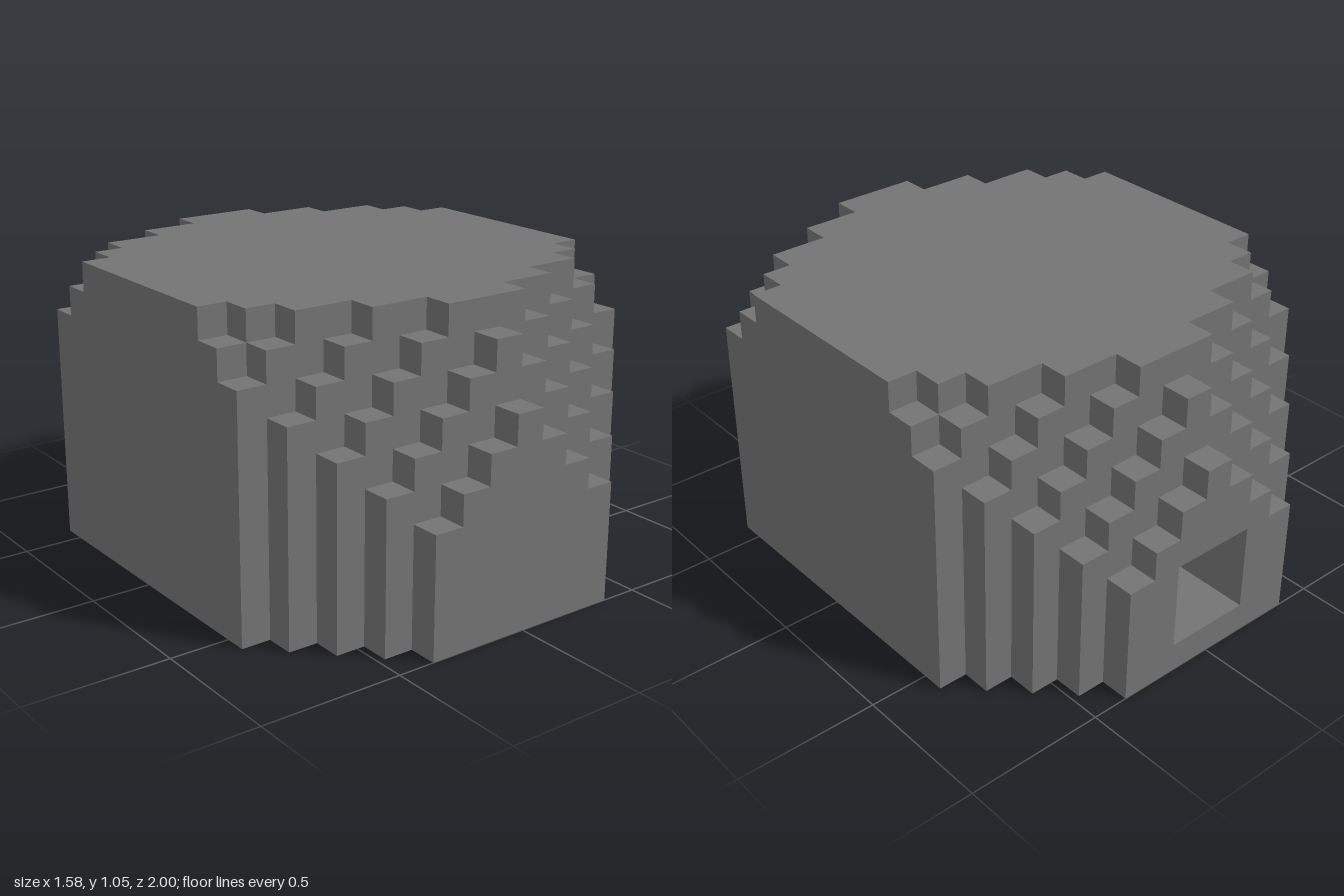
import * as THREE from 'three';

const U = 2 / 19; // one block

// Column heights in blocks, from the centre column outwards, for each slab from the ends inwards
const SLABS = [
  [7, 6, 5, 4],
  [9, 8, 7, 6, 5],
  [10, 10, 9, 8, 7, 6],
  [10, 10, 10, 10, 9, 8, 7],
  [10, 10, 10, 10, 10, 10, 9, 8],
  [10, 10, 10, 10, 10, 10, 10, 9],
];
const TUNNEL_DEPTH = 3;

// Stepped, left-right symmetrical outline
function steppedShape(heights) {
  const side = [];
  heights.forEach((h, i) => {
    if (i === 0 || heights[i - 1] !== h) side.push([i === 0 ? null : i - 0.5, h]);
  });
  const right = [];
  side.forEach(([x, h], i) => {
    if (i > 0) right.push(new THREE.Vector2(x * U, side[i - 1][1] * U), new THREE.Vector2(x * U, h * U));
  });
  const edge = heights.length - 0.5;
  right.push(new THREE.Vector2(edge * U, heights[heights.length - 1] * U), new THREE.Vector2(edge * U, 0));
  const left = right.map((p) => new THREE.Vector2(-p.x, p.y)).reverse();
  return new THREE.Shape([...left, ...right]);
}

// Square opening of the recess
function openingPath() {
  const a = 1.5 * U;
  return new THREE.Path([
    new THREE.Vector2(-a, U), new THREE.Vector2(a, U),
    new THREE.Vector2(a, 4 * U), new THREE.Vector2(-a, 4 * U),
  ]);
}

export function createModel() {
  const model = new THREE.Group();
  model.name = 'steppedDome';
  const stone = new THREE.MeshStandardMaterial({ color: 0x737373 });
  stone.name = 'stone grey';

  const add = (name, geometry, x, y, z) => {
    const mesh = new THREE.Mesh(geometry, stone);
    mesh.name = name;
    mesh.position.set(x * U, y * U, z * U);
    model.add(mesh);
  };

  // Stepped end slabs, front and back; the outer back ones are pierced
  SLABS.forEach((heights, i) => {
    const outer = 9.5 - i;
    for (const front of [true, false]) {
      const shape = steppedShape(heights);
      if (!front && i < TUNNEL_DEPTH) shape.holes.push(openingPath());
      const geometry = new THREE.ExtrudeGeometry(shape, { depth: U, bevelEnabled: false });
      add(`${front ? 'front' : 'back'}Slab${i + 1}`, geometry, 0, 0, front ? outer - 1 : -outer);
    }
  });

  // Solid middle
  add('core', new THREE.BoxGeometry(15 * U, 10 * U, 7 * U), 0, 5, 0);

  // Post standing inside the recess
  add('recessPost', new THREE.BoxGeometry(U, 2 * U, U), 1, 2, -8);

  return model;
}
